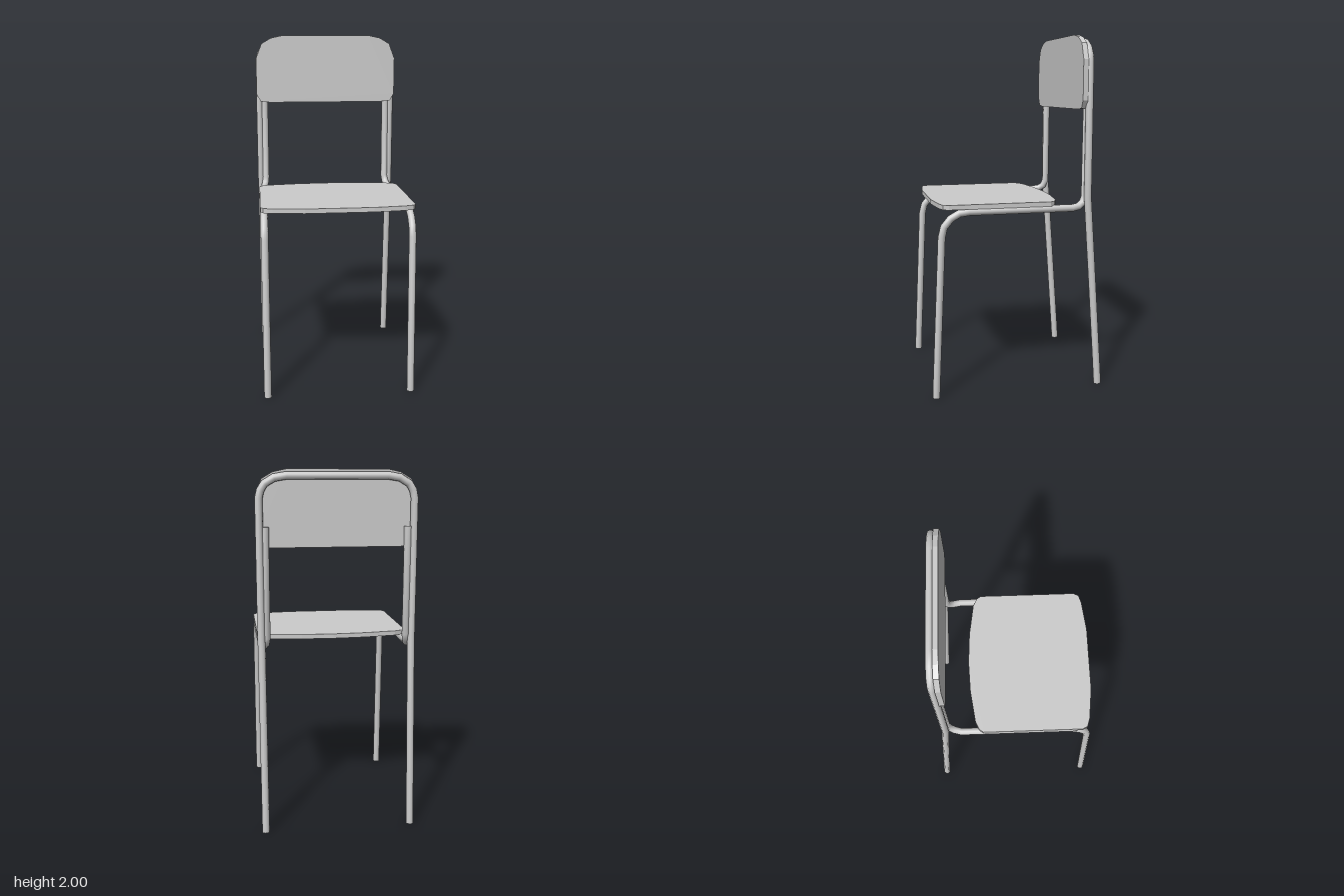
import * as THREE from 'three';

const material = new THREE.MeshStandardMaterial({ color: 0xcccccc });
const RADIUS = 0.021;
const SIDES = 10;

// Curve that visits exactly the given points, so bends keep their facets
class Polyline extends THREE.Curve {
  constructor(points) {
    super();
    this.points = points.map((p) => new THREE.Vector3(...p));
  }
  index(u) {
    return Math.round(u * (this.points.length - 1));
  }
  getPointAt(u, target = new THREE.Vector3()) {
    return target.copy(this.points[this.index(u)]);
  }
  getTangentAt(u, target = new THREE.Vector3()) {
    const i = this.index(u), p = this.points, last = p.length - 1;
    target.set(0, 0, 0);
    if (i > 0) target.add(p[i].clone().sub(p[i - 1]).normalize());
    if (i < last) target.add(p[i + 1].clone().sub(p[i]).normalize());
    return target.normalize();
  }
}

// Round steel tube with closed ends
function tube(name, points) {
  const group = new THREE.Group();
  group.name = name;
  const path = new Polyline(points);
  const pipe = new THREE.Mesh(
    new THREE.TubeGeometry(path, points.length - 1, RADIUS, SIDES, false), material);
  pipe.name = name + 'Pipe';
  group.add(pipe);
  for (const u of [0, 1]) {
    const cap = new THREE.Mesh(new THREE.CircleGeometry(RADIUS, SIDES), material);
    cap.name = name + 'Cap';
    cap.position.copy(path.getPointAt(u));
    const outward = path.getTangentAt(u).multiplyScalar(u ? 1 : -1);
    cap.quaternion.setFromUnitVectors(new THREE.Vector3(0, 0, 1), outward);
    group.add(cap);
  }
  return group;
}

// Flat board from one half of a symmetric outline
function board(name, half, depth) {
  const mirrored = half.filter(([x]) => x > 0).reverse().map(([x, y]) => [-x, y]);
  const shape = new THREE.Shape([...half, ...mirrored].map((p) => new THREE.Vector2(...p)));
  const mesh = new THREE.Mesh(
    new THREE.ExtrudeGeometry(shape, { depth, bevelEnabled: false }), material);
  mesh.name = name;
  return mesh;
}

export function createModel() {
  const chair = new THREE.Group();
  chair.name = 'chair';

  // Seat board, outline drawn with y = -z and laid flat
  const seat = board('seat', [
    [0.19, -0.46], [0.365, -0.44], [0.415, -0.425], [0.43, -0.395],
    [0.43, 0.175], [0.413, 0.2], [0.365, 0.222], [0.18, 0.248], [0, 0.256],
  ], 0.026);
  seat.rotation.x = -Math.PI / 2;
  seat.position.y = 1.06;
  chair.add(seat);

  // Backrest board
  const backrest = board('backrest', [
    [0.35, 1.59], [0.41, 1.596], [0.435, 1.64], [0.435, 1.86],
    [0.4, 1.95], [0.34, 1.985], [0.27, 2],
  ], 0.029);
  backrest.position.z = -0.379;
  chair.add(backrest);

  // Rear legs and back hoop, one continuous tube
  const hoopHalf = [
    [0.415, 0, -0.473], [0.415, 0.06, -0.47], [0.415, 1.04, -0.399], [0.416, 1.1, -0.394],
    [0.416, 1.85, -0.394], [0.407, 1.89, -0.394], [0.385, 1.925, -0.394],
    [0.335, 1.955, -0.394], [0.27, 1.966, -0.394],
  ];
  const hoopMirror = hoopHalf.slice().reverse().map(([x, y, z]) => [-x, y, z]);
  chair.add(tube('rearLegsAndBackHoop', [...hoopHalf, ...hoopMirror]));

  // Front leg, seat rail and inner upright, one tube per side
  for (const [side, s] of [['left', 1], ['right', -1]]) {
    chair.add(tube(side + 'FrontLegAndRail', [
      [0.41, 0, 0.475], [0.41, 0.06, 0.473], [0.41, 0.91, 0.434], [0.41, 0.965, 0.42],
      [0.41, 1.01, 0.383], [0.41, 1.037, 0.335], [0.41, 1.044, 0.28],
      [0.41, 1.044, -0.305], [0.4, 1.05, -0.345], [0.391, 1.069, -0.372],
      [0.386, 1.105, -0.386], [0.385, 1.7, -0.39],
    ].map(([x, y, z]) => [s * x, y, z])));
  }

  return chair;
}
